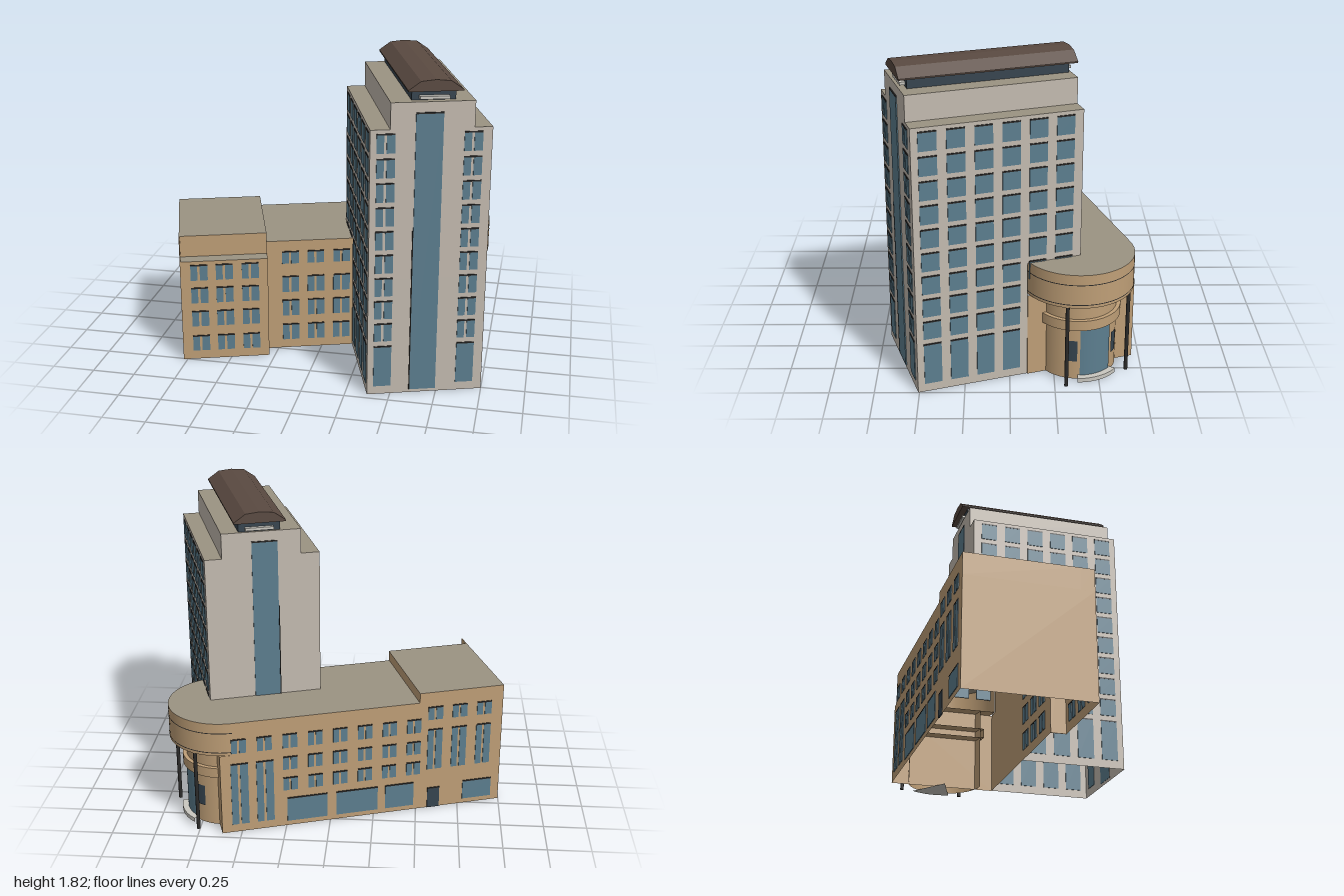
import * as THREE from 'three';
import { mergeGeometries } from 'three/addons/utils/BufferGeometryUtils.js';

const mat = (name, color, side = THREE.FrontSide) => {
  const m = new THREE.MeshStandardMaterial({ color, side });
  m.name = name;
  return m;
};

export function createModel() {
  const stone = mat('pale stone', 0xc4bbb0, THREE.DoubleSide);
  const tan = mat('tan cladding', 0xbf9f77, THREE.DoubleSide);
  const roofGrey = mat('roof grey', 0x9b9382, THREE.DoubleSide);
  const glass = mat('blue glass', 0x5c7e8f, THREE.DoubleSide);
  const brown = mat('brown roof', 0x5a4a41);
  const slate = mat('dark slate', 0x36444f);
  const dark = mat('dark trim', 0x2b2a29, THREE.DoubleSide);
  const pale = mat('pale grey', 0xc9c7c0);

  const model = new THREE.Group();
  model.name = 'officeComplex';
  // the whole plan is turned 18 degrees
  const site = new THREE.Group();
  site.name = 'site';
  site.rotation.y = THREE.MathUtils.degToRad(18);
  model.add(site);

  const add = (name, geo, material, x = 0, y = 0, z = 0) => {
    const m = new THREE.Mesh(geo, material);
    m.name = name;
    m.position.set(x, y, z);
    site.add(m);
    return m;
  };
  // box given by its limits, with a separate top colour; faces listed in "open" are left out
  const FACES = ['right', 'left', 'top', 'bottom', 'front', 'back'];
  const block = (name, [x0, x1], [y0, y1], [z0, z1], side, top = side, open = []) => {
    const geo = new THREE.BoxGeometry(x1 - x0, y1 - y0, z1 - z0);
    const all = Array.from(geo.index.array), index = [];
    geo.clearGroups();
    FACES.forEach((face, i) => {
      if (open.includes(face)) return;
      geo.addGroup(index.length, 6, face === 'top' ? 1 : 0);
      index.push(...all.slice(i * 6, i * 6 + 6));
    });
    geo.setIndex(index);
    return add(name, geo, [side, top], (x0 + x1) / 2, (y0 + y1) / 2, (z0 + z1) / 2);
  };

  // one wall of windows; each window is [centre, bottom, top, width, paired]
  const facade = (name, x, z, turn, windows, material = glass) => {
    const panes = [], lintels = [];
    for (const [u, y0, y1, w, paired] of windows) {
      const parts = paired ? [[u - w * 0.3, w * 0.4], [u + w * 0.27, w * 0.46]] : [[u, w]];
      for (const [c, pw] of parts)
        panes.push(new THREE.BoxGeometry(pw, y1 - y0, 0.008).translate(c, (y0 + y1) / 2, 0));
      lintels.push(new THREE.BoxGeometry(w, 0.008, 0.009).translate(u, y1, 0));
    }
    const g = new THREE.Group();
    g.name = name;
    g.position.set(x, 0, z);
    g.rotation.y = turn;
    const p = new THREE.Mesh(mergeGeometries(panes), material);
    p.name = name + 'Panes';
    const l = new THREE.Mesh(mergeGeometries(lintels), dark);
    l.name = name + 'Lintels';
    g.add(p, l);
    site.add(g);
  };
  const grid = (columns, rows, w, paired) =>
    columns.flatMap(u => rows.map(([y0, y1]) => [u, y0, y1, w, paired]));

  // ---- tower, open below ----
  const TX = [0.137, 0.794], TB = -0.154, TF = 0.79, WF = 0.155;
  block('towerBase', TX, [0, 0.7], [WF, TF], stone, stone, ['top', 'bottom', 'back']);
  block('towerBody', TX, [0.7, 1.555], [TB, TF], stone, roofGrey, ['bottom']);
  block('towerUpperStorey', [0.244, 0.696], [1.555, 1.7], [TB, TF], stone, roofGrey, ['bottom']);

  const floors = Array.from({ length: 9 }, (_, i) => [1.425 - 0.137 * i, 1.53 - 0.137 * i]);
  const ground = [[0.05, 0.295]];
  // side windows stop where the low wing covers the tower
  const sideColumns = Array.from({ length: 6 }, (_, i) => 0.324 + (i - 2.5) * 0.151);
  const sideWindows = grid(sideColumns, [...floors, ...ground], 0.1)
    .filter(([u, y0]) => u > WF || y0 > 0.59);
  facade('towerWestWindows', TX[0], 0, -Math.PI / 2, sideWindows);
  facade('towerEastWindows', TX[1], 0, Math.PI / 2, sideWindows.map(([u, ...rest]) => [-u, ...rest]));
  facade('towerFrontWindows', 0, TF, 0, [
    ...grid([0.222, 0.692], floors, 0.1, true), ...grid([0.222, 0.692], ground, 0.1)]);
  facade('towerFrontGlassStrip', 0, TF + 0.002, 0, [[0.453, 0.02, 1.64, 0.148]]);
  facade('towerBackGlassStrip', 0, TB, Math.PI, [[-0.453, 0.7, 1.64, 0.148]]);
  block('frontStripEdge', [0.374, 0.379], [0.02, 0.98], [TF - 0.002, TF + 0.008], dark);
  block('backStripEdge', [0.374, 0.379], [0.7, 1.25], [TB - 0.008, TB + 0.002], dark);

  // ---- penthouse with faceted roof ----
  block('penthouseWalls', [0.36, 0.597], [1.7, 1.765], [-0.14, 0.75], slate);
  block('penthouseFrontSill', [0.4, 0.56], [1.71, 1.726], [0.745, 0.78], pale);
  block('penthouseBackSill', [0.4, 0.56], [1.71, 1.726], [-0.165, -0.135], pale);
  const profile = new THREE.Shape([
    [-0.147, 1.757], [0.147, 1.757], [0.147, 1.765], [0.08, 1.812],
    [0, 1.82], [-0.08, 1.812], [-0.147, 1.765]].map(p => new THREE.Vector2(...p)));
  add('penthouseRoof', new THREE.ExtrudeGeometry(profile, { depth: 0.98, bevelEnabled: false }),
    brown, 0.48, 0, -0.18);

  // ---- low wing, one hollow shell open below ----
  const WB = -0.485, MX = -0.378, EX = -0.892, END = 0.8;
  block('wingLower', [MX, END], [0, 0.5], [WB, WF], tan, tan, ['top', 'bottom', 'left']);
  block('wingUpper', [MX, 0.723], [0.5, 0.7], [WB, WF], tan, roofGrey, ['bottom', 'left', 'right']);
  block('wingEndLower', [EX, MX], [0, 0.63], [WB, 0.245], tan, tan, ['top', 'bottom', 'right']);
  block('wingEndUpper', [EX, MX], [0.63, 0.76], [WB, 0.165], tan, roofGrey, ['bottom']);
  block('bayReturn', [MX - 0.004, MX], [0, 0.63], [WF, 0.245], tan);
  block('bayRoof', [EX, MX], [0.624, 0.63], [0.165, 0.245], tan, roofGrey);
  block('bayFin', [EX, EX + 0.005], [0.63, 0.76], [0.165, 0.245], tan);

  const wingRows = [[0.055, 0.155], [0.215, 0.315], [0.37, 0.47], [0.555, 0.63]];
  const bayRows = [[0.055, 0.15], [0.215, 0.31], [0.365, 0.46], [0.51, 0.605]];
  facade('wingFrontWindows', 0, WF, 0, grid([-0.237, -0.085, 0.07], wingRows, 0.1, true));
  facade('bayFrontWindows', 0, 0.245, 0, grid([-0.782, -0.634, -0.482], bayRows, 0.1, true));

  // back wall, centres counted from the rounded end
  const backCols = Array.from({ length: 8 }, (_, i) => -0.69 + i * 0.148);
  const endCols = [0.476, 0.625, 0.776];
  facade('wingBackWindows', 0, WB, Math.PI, [
    ...grid(backCols, [[0.51, 0.595]], 0.085, true),
    ...grid(backCols.slice(0, 2), [[0.05, 0.44]], 0.1, true),
    ...grid(backCols.slice(2), [[0.37, 0.45], [0.235, 0.315]], 0.085, true),
    ...grid(endCols, [[0.585, 0.665], [0.26, 0.52]], 0.09, true),
    [-0.295, 0.03, 0.18, 0.24], [0.005, 0.03, 0.18, 0.25], [0.264, 0.03, 0.18, 0.175],
    [0.75, 0.03, 0.15, 0.18]]);
  facade('wingBackDoor', 0, WB, Math.PI, [[0.476, 0.0, 0.13, 0.075]], slate);

  // ---- rounded end: overhanging drum on a recessed round entrance ----
  const CX = 0.723, CZ = -0.167, R = 0.318;
  const AXIS = Math.PI / 2 + 0.15; // direction the entrance faces
  // slice of a cylinder centred on a direction
  const slice = (r, h, spread, open = false, mid = Math.PI / 2) =>
    new THREE.CylinderGeometry(r, r, h, 28, 1, open, mid - spread / 2, spread);
  add('drum', slice(R, 0.2, Math.PI), [tan, roofGrey, tan], CX, 0.6, CZ);
  for (const y of [0.52, 0.64])
    add('drumGroove', slice(R + 0.002, 0.005, Math.PI, true), dark, CX, y, CZ);
  add('entranceCore', slice(0.225, 0.5, Math.PI, true), tan, CX, 0.25, CZ);
  add('entranceCanopy', slice(0.248, 0.06, Math.PI), tan, CX, 0.35, CZ);
  add('entranceGlass', slice(0.23, 0.3, 0.84, true, AXIS), glass, CX, 0.17, CZ);
  add('entranceStep', slice(0.265, 0.025, 0.95, false, AXIS), pale, CX, 0.0125, CZ);
  for (const s of [-1, 1]) {
    const post = AXIS + s * 0.69, side = AXIS + s * 0.6;
    add('entranceColumn', new THREE.CylinderGeometry(0.011, 0.011, 0.5, 10), dark,
      CX + Math.sin(post) * 0.305, 0.25, CZ + Math.cos(post) * 0.305);
    add('entranceSideWindow', slice(0.231, 0.13, 0.22, true, side), slate, CX, 0.18, CZ);
  }
  return model;
}
